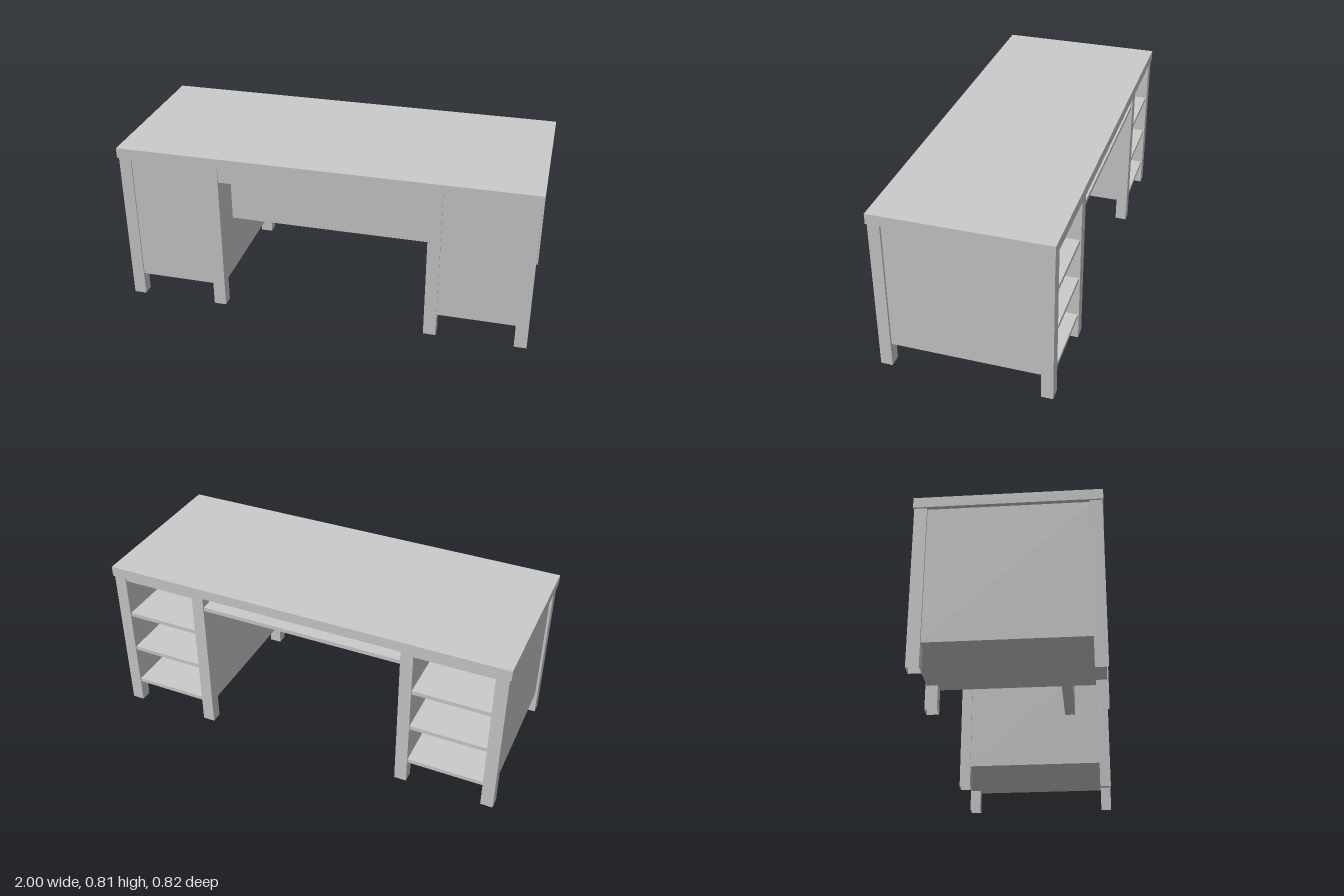
import * as THREE from 'three';

const material = new THREE.MeshStandardMaterial({ color: 0xcccccc, flatShading: true });
const openMaterial = new THREE.MeshStandardMaterial({ color: 0xcccccc, flatShading: true, side: THREE.DoubleSide });

const UNDERSIDE = 0.76; // underside of the desktop
const BASE = 0.115;     // underside of the pedestals
const BOARD = 0.02;     // board thickness

// Box given by its limits on each axis
function board(name, [x0, x1], [y0, y1], [z0, z1]) {
  const geometry = new THREE.BoxGeometry(x1 - x0, y1 - y0, z1 - z0);
  geometry.translate((x0 + x1) / 2, (y0 + y1) / 2, (z0 + z1) / 2);
  const mesh = new THREE.Mesh(geometry, material);
  mesh.name = name;
  return mesh;
}

// Square leg, open at both ends
function leg(x, z) {
  const geometry = new THREE.CylinderGeometry(Math.SQRT1_2, Math.SQRT1_2, 1, 4, 1, true);
  geometry.rotateY(Math.PI / 4);
  geometry.scale(0.06, UNDERSIDE, 0.056);
  geometry.translate(x, UNDERSIDE / 2, z);
  const mesh = new THREE.Mesh(geometry, openMaterial);
  mesh.name = 'leg';
  return mesh;
}

// Pedestal on one side: closed front, open shelves at the back
function pedestal(side) {
  const group = new THREE.Group();
  group.name = side > 0 ? 'leftPedestal' : 'rightPedestal';
  const span = (a, b) => (side > 0 ? [a, b] : [-b, -a]);

  for (const x of [0.53, 0.962])
    for (const z of [-0.378, 0.378]) group.add(leg(side * x, z));

  group.add(
    board('outerPanel', span(0.96, 0.98), [BASE, UNDERSIDE], [-0.36, 0.36]),
    board('innerPanel', span(0.506, 0.526), [BASE, UNDERSIDE], [-0.36, 0.36]),
    board('frontPanel', span(0.55, 0.94), [BASE, UNDERSIDE], [0.38, 0.4]),
    // linings flush with the legs, beside the shelves
    board('outerLining', span(0.932, 0.96), [BASE, UNDERSIDE], [-0.36, 0.36]),
    board('innerLining', span(0.526, 0.56), [BASE, UNDERSIDE], [-0.36, 0.36]),
    board('shelfBack', span(0.55, 0.94), [BASE + 0.005, UNDERSIDE], [-0.15, -0.13])
  );

  // bottom, two shelves and top board
  const step = (UNDERSIDE - BOARD - BASE) / 3;
  for (let i = 0; i < 4; i++) {
    const y = BASE + i * step;
    const depth = i === 0 ? 0.39 : -0.14;
    group.add(board('shelf', span(0.55, 0.94), [y, y + BOARD], [-0.4, depth]));
  }
  return group;
}

export function createModel() {
  const desk = new THREE.Group();
  desk.name = 'desk';

  desk.add(board('desktop', [-1, 1], [UNDERSIDE, 0.81], [-0.41, 0.41]));
  desk.add(pedestal(1), pedestal(-1));

  // Shallow tray between the pedestals, closed in front and open at the back
  desk.add(
    board('trayFront', [-0.503, 0.503], [0.685, UNDERSIDE], [0.38, 0.4]),
    board('trayBottom', [-0.507, 0.507], [0.685, 0.685 + BOARD], [-0.4, 0.385])
  );

  // Modesty panel across the knee space
  desk.add(board('modestyPanel', [-0.51, 0.51], [0.4, 0.69], [0.17, 0.225]));

  return desk;
}
